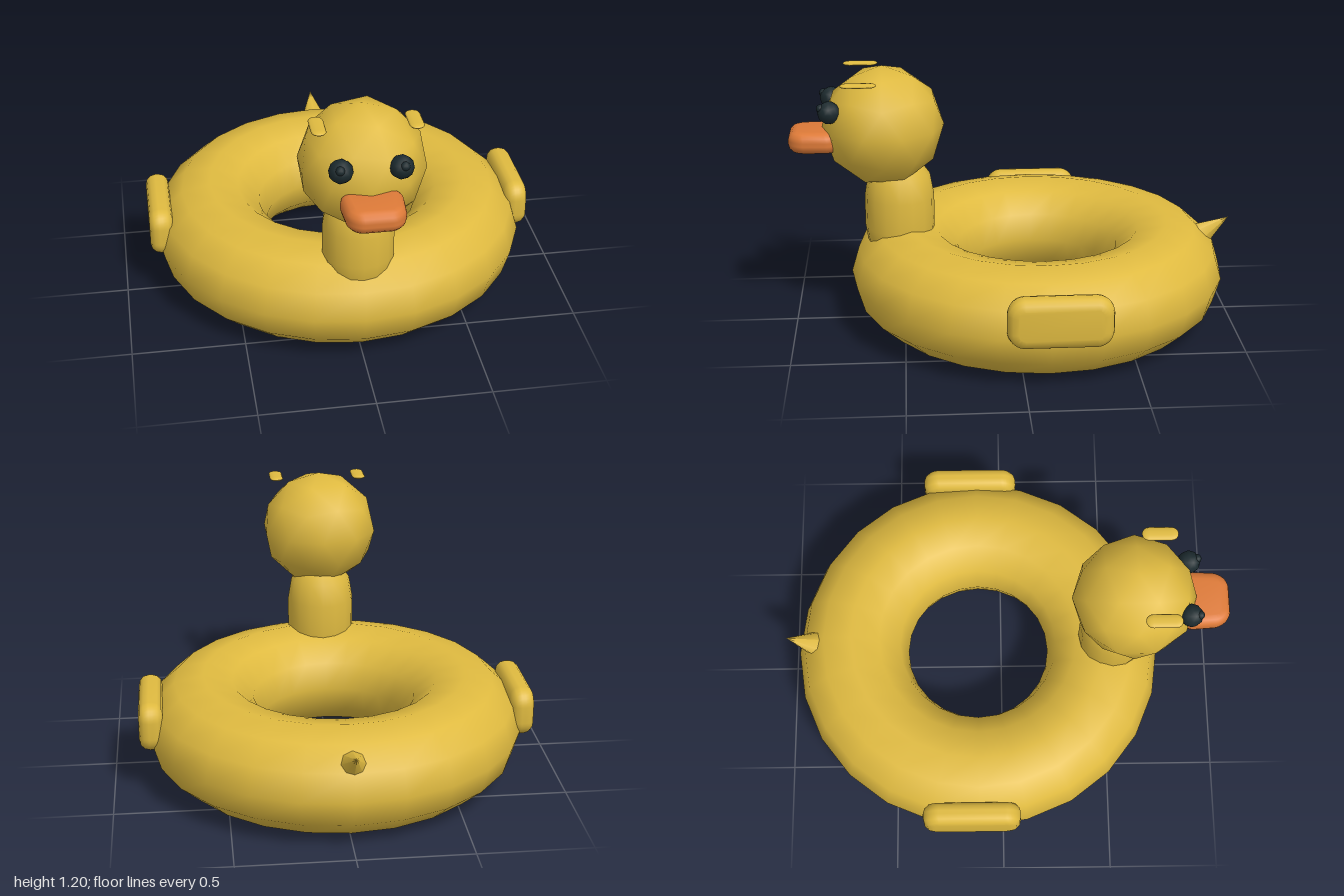
import * as THREE from 'three';
import { toCreasedNormals } from 'three/addons/utils/BufferGeometryUtils.js';

const yellow = new THREE.MeshStandardMaterial({ color: 0xdfba40 });
yellow.name = 'duckYellow';
const orange = new THREE.MeshStandardMaterial({ color: 0xdd7a38 });
orange.name = 'beakOrange';
const black = new THREE.MeshStandardMaterial({ color: 0x1c2a2e });
black.name = 'eyeBlack';

// Icosphere with a vertex at the top and an upper vertex towards +x
function ball(radius) {
  return new THREE.IcosahedronGeometry(radius, 1).rotateZ(-Math.atan(2 / (1 + Math.sqrt(5))));
}

// Pillow-like slab in the xy plane, with rounded corners and a bevelled rim
function pillow(width, height, depth, corner, bevel) {
  const w = width / 2 - bevel, h = height / 2 - bevel;
  const r = Math.max(corner - bevel, 0.005);
  const s = new THREE.Shape();
  s.absarc(w - r, h - r, r, 0, Math.PI / 2);
  s.absarc(r - w, h - r, r, Math.PI / 2, Math.PI);
  s.absarc(r - w, r - h, r, Math.PI, Math.PI * 1.5);
  s.absarc(w - r, r - h, r, Math.PI * 1.5, Math.PI * 2);
  const g = new THREE.ExtrudeGeometry(s, {
    depth: depth - 2 * bevel, bevelThickness: bevel, bevelSize: bevel,
    bevelSegments: 3, curveSegments: 4,
  });
  return g.translate(0, 0, bevel - depth / 2);
}

export function createModel() {
  const group = new THREE.Group();
  const add = (name, geometry, material, x, y, z) => {
    const mesh = new THREE.Mesh(geometry, material);
    mesh.name = name;
    mesh.position.set(x, y, z);
    group.add(mesh);
    return mesh;
  };

  // Inflated ring
  const ring = new THREE.TorusGeometry(0.59, 0.26, 12, 24).rotateX(Math.PI / 2).scale(1, 0.908, 1);
  add('ring', ring, yellow, 0, 0.236, -0.11);

  // Neck, swelling in the middle
  const profile = [[0, 0.2], [0.11, 0.28], [0.145, 0.38], [0.157, 0.46], [0.157, 0.6], [0.14, 0.7], [0.09, 0.77], [0, 0.8]]
    .map(([x, y]) => new THREE.Vector2(x, y));
  add('neck', new THREE.LatheGeometry(profile, 16), yellow, 0, 0, 0.515);

  // Head
  add('head', ball(0.272), yellow, 0, 0.932, 0.58);

  // Beak, narrowing towards the tip
  const beak = pillow(0.26, 0.23, 0.095, 0.07, 0.04).rotateX(Math.PI / 2);
  const p = beak.attributes.position;
  for (let i = 0; i < p.count; i++) {
    const t = Math.max(0, p.getZ(i) / 0.115);
    p.setX(i, p.getX(i) * (1 - 0.12 * t));
  }
  add('beak', toCreasedNormals(beak, 1.1), orange, 0, 0.878, 0.885);

  for (const side of [-1, 1]) {
    const label = side > 0 ? 'left' : 'right';

    // Eyes, each with a small raised bead
    add(label + 'Eye', ball(0.051), black, side * 0.123, 1.027, 0.812);
    add(label + 'EyeBead', ball(0.02), black, side * 0.13, 1.048, 0.846);

    // Flat brows above the head
    const brow = new THREE.CapsuleGeometry(0.031, 0.095, 4, 10).rotateX(Math.PI / 2).scale(1, 0.3, 1);
    add(label + 'Brow', brow, yellow, side * 0.198, 1.165, 0.68);

    // Wings
    const wing = pillow(0.445, 0.222, 0.106, 0.075, 0.045).rotateY(Math.PI / 2);
    add(label + 'Wing', toCreasedNormals(wing, 1.1), yellow, side * 0.827, 0.32, -0.143);
  }

  // Pointed tail
  const tail = new THREE.ConeGeometry(0.07, 0.18, 8).translate(0, -0.09, 0);
  add('tail', tail, yellow, 0, 0.455, -1).rotation.x = -0.994;

  return group;
}
